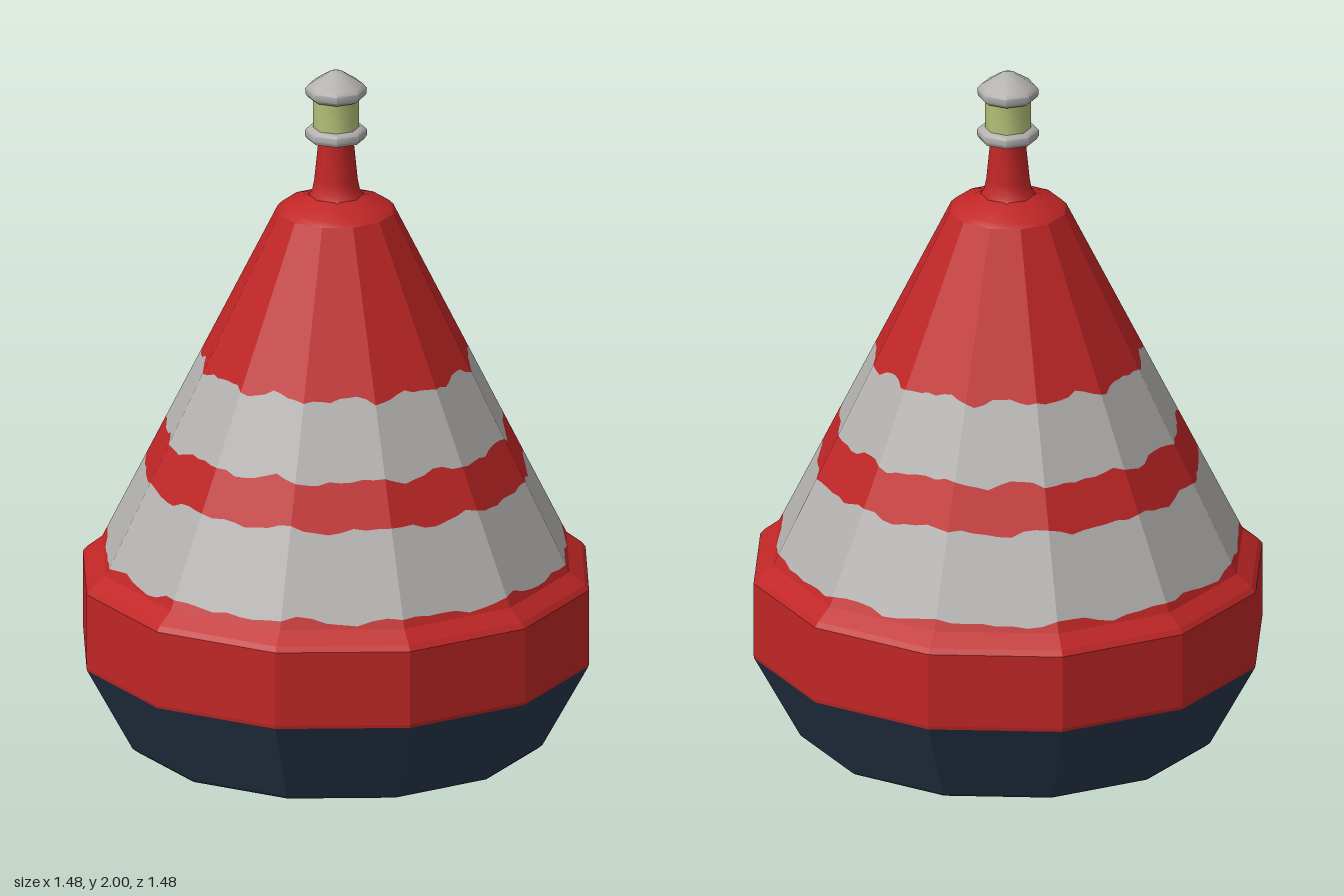
import * as THREE from 'three';
import { toCreasedNormals } from 'three/addons/utils/BufferGeometryUtils.js';

const SIDES = 12, STEPS = 8, COUNT = SIDES * STEPS;

// Radius of the straight cone at a given height
const coneRadius = (y) => 0.685 - (0.515 * (y - 0.54)) / 1.04;

// Repeatable unevenness of the painted stripe edges
function wobble(step, seed) {
  const a = ((step % COUNT) / COUNT) * Math.PI * 2;
  return 0.008 * Math.sin(12 * a + seed) + 0.005 * Math.sin(19 * a + seed * 2.3) + 0.003 * Math.sin(37 * a + seed * 4.1);
}

// Twelve-sided ring section; profile rows are [radius, y, wobbleSeed?]
function ringGeometry(rows) {
  const points = rows.map(([r, y]) => new THREE.Vector2(r, y));
  const geometry = new THREE.LatheGeometry(points, COUNT);
  const pos = geometry.attributes.position;
  for (let i = 0; i < pos.count; i++) {
    const step = Math.floor(i / rows.length);
    let [r, y, seed] = rows[i % rows.length];
    if (seed) {
      y += wobble(step, seed);
      r = coneRadius(y);
    }
    // Straighten the circle into flat sides
    const a = (Math.floor(step / STEPS) / SIDES) * Math.PI * 2;
    const b = a + (Math.PI * 2) / SIDES;
    const t = (step % STEPS) / STEPS;
    pos.setXYZ(i, r * THREE.MathUtils.lerp(Math.sin(a), Math.sin(b), t), y,
      r * THREE.MathUtils.lerp(Math.cos(a), Math.cos(b), t));
  }
  const flat = geometry.toNonIndexed();
  flat.computeVertexNormals();
  return flat;
}

// Small eight-sided turned part with softened faces
function turned(rows, sides = 8) {
  const points = rows.map(([r, y]) => new THREE.Vector2(r, y));
  return toCreasedNormals(new THREE.LatheGeometry(points, sides), 0.9);
}

export function createModel() {
  const group = new THREE.Group();
  const material = (name, color) => {
    const m = new THREE.MeshStandardMaterial({ color });
    m.name = name;
    return m;
  };
  const red = material('red paint', 0xc02626);
  const grey = material('pale grey paint', 0xb4b2b0);
  const navy = material('navy hull paint', 0x28374b);
  const glass = material('yellow green glass', 0xb4c078);

  const add = (name, geometry, mat) => {
    const mesh = new THREE.Mesh(geometry, mat);
    mesh.name = name;
    group.add(mesh);
  };
  const edge = (y, seed) => [coneRadius(y), y, seed];

  // Hull and rim
  add('hull', ringGeometry([[0, 0], [0.59, 0], [0.605, 0.012], [0.74, 0.26]]), navy);
  add('rim', ringGeometry([[0.74, 0.26], [0.742, 0.27], [0.742, 0.49], [0.73, 0.505], [0.685, 0.54], edge(0.56, 1)]), red);

  // Striped cone
  add('lowerPaleStripe', ringGeometry([edge(0.56, 1), edge(0.795, 2)]), grey);
  add('redStripe', ringGeometry([edge(0.795, 2), edge(0.92, 3)]), red);
  add('upperPaleStripe', ringGeometry([edge(0.92, 3), edge(1.132, 4)]), grey);
  add('coneTop', ringGeometry([edge(1.132, 4), [0.17, 1.58]]), red);

  // Rounded shoulder and lamp post
  add('shoulder', turned([[0.17, 1.58], [0.155, 1.594], [0.1, 1.612], [0.078, 1.625], [0, 1.628]], SIDES), red);
  add('post', turned([[0.085, 1.615], [0.068, 1.64], [0.062, 1.67], [0.05, 1.79]]), red);

  // Lantern
  add('lanternBase', turned([[0, 1.775], [0.045, 1.78], [0.055, 1.79], [0.082, 1.793], [0.088, 1.803],
    [0.088, 1.82], [0.08, 1.828], [0, 1.83]]), grey);
  add('lanternGlass', turned([[0.066, 1.825], [0.066, 1.925]]), glass);
  add('lanternCap', turned([[0, 1.915], [0.075, 1.915], [0.086, 1.925], [0.088, 1.945], [0.078, 1.957],
    [0.02, 1.994], [0, 2]]), grey);

  return group;
}
